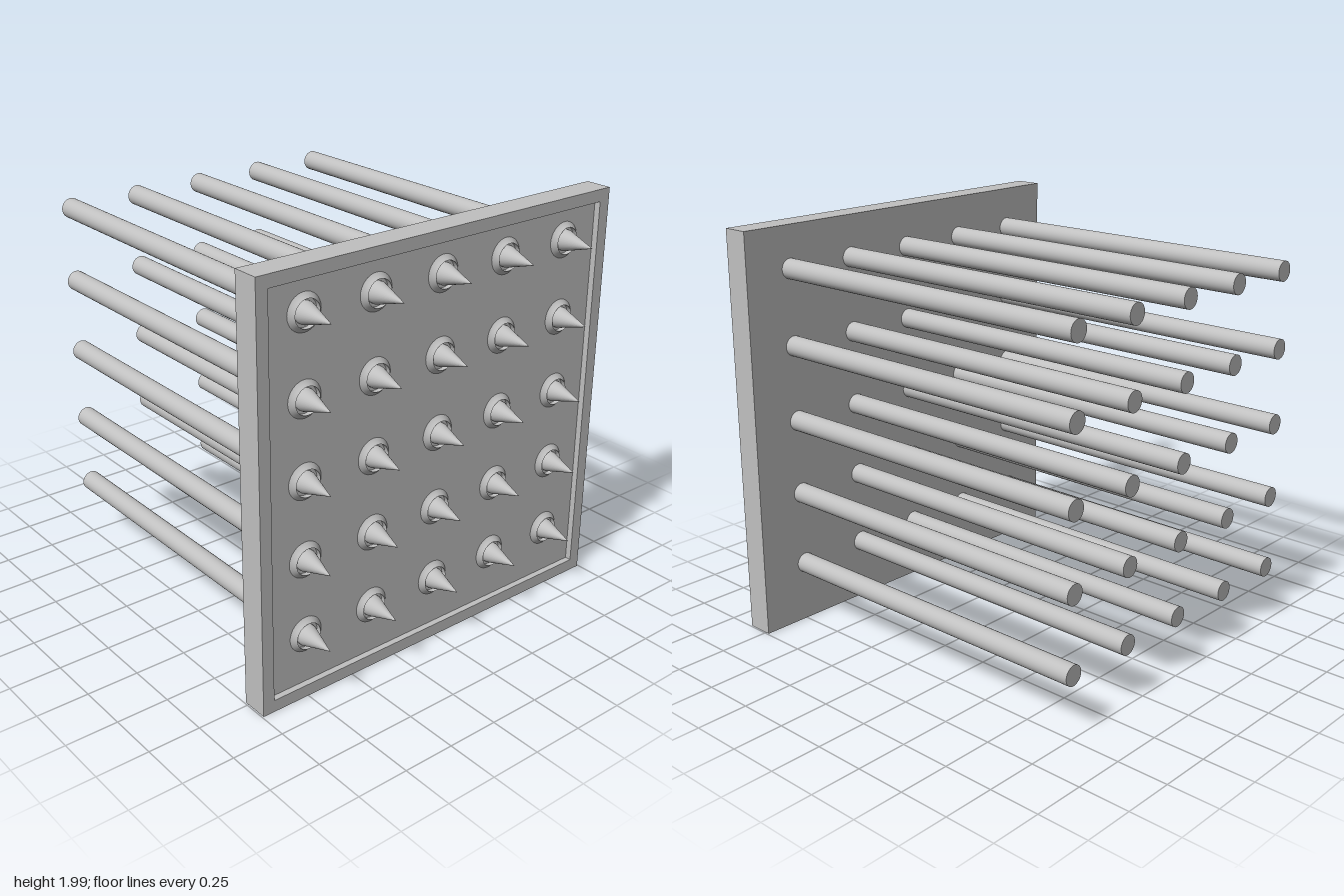
import * as THREE from 'three';

const steel = new THREE.MeshStandardMaterial({ color: 0xc0c0c0 });
steel.name = 'steel grey';

const BACK = 0.73, FLOOR = 0.83, FRONT = 0.86;
const HALF = 0.993, INNER = 0.935, MID = 0.993;

function part(name, geometry, parent) {
  const mesh = new THREE.Mesh(geometry, steel);
  mesh.name = name;
  parent.add(mesh);
  return mesh;
}

function square(path, h) {
  path.moveTo(-h, -h);
  path.lineTo(h, -h);
  path.lineTo(h, h);
  path.lineTo(-h, h);
  path.closePath();
  return path;
}

// Square slab with a shallow rim around its front
function makePlate() {
  const plate = new THREE.Group();
  plate.name = 'plate';
  plate.position.y = MID;
  const panel = part('panel', new THREE.BoxGeometry(INNER * 2, INNER * 2, FLOOR - BACK), plate);
  panel.position.z = (FLOOR + BACK) / 2;
  const outline = square(new THREE.Shape(), HALF);
  outline.holes.push(square(new THREE.Path(), INNER));
  const rim = part('rim', new THREE.ExtrudeGeometry(outline, { depth: FRONT - BACK, bevelEnabled: false }), plate);
  rim.position.z = BACK;
  return plate;
}

// Long rod, pointed tip and flared collar, all lying along z
const rodGeometry = new THREE.CylinderGeometry(0.049, 0.049, FLOOR + 1.015, 32)
  .rotateX(Math.PI / 2).translate(0, 0, (FLOOR + 0.015 - 1) / 2);
const tipGeometry = new THREE.ConeGeometry(0.049, 0.155, 32, 1, true)
  .rotateX(Math.PI / 2).translate(0, 0, 0.9225);
const collarGeometry = new THREE.LatheGeometry([
  new THREE.Vector2(0.085, 0),
  new THREE.Vector2(0.077, 0.006),
  new THREE.Vector2(0.069, 0.015),
  new THREE.Vector2(0.063, 0.024),
], 32).rotateX(Math.PI / 2).translate(0, 0, FLOOR);
const boreGeometry = new THREE.CylinderGeometry(0.063, 0.063, 0.024, 32, 1, true)
  .rotateX(Math.PI / 2).translate(0, 0, FLOOR + 0.012);
// The bore faces inwards
const order = boreGeometry.index.array;
for (let i = 0; i < order.length; i += 3) [order[i], order[i + 1]] = [order[i + 1], order[i]];
const boreNormals = boreGeometry.attributes.normal;
for (let i = 0; i < boreNormals.count; i++) {
  boreNormals.setXYZ(i, -boreNormals.getX(i), -boreNormals.getY(i), -boreNormals.getZ(i));
}

function makeSpike(x, y) {
  const spike = new THREE.Group();
  spike.name = 'spike';
  spike.position.set(x, y, 0);
  part('rod', rodGeometry, spike);
  part('tip', tipGeometry, spike);
  part('collar', collarGeometry, spike);
  part('collarBore', boreGeometry, spike);
  return spike;
}

export function createModel() {
  const model = new THREE.Group();
  model.name = 'spikeTrap';
  model.add(makePlate());

  // Five by five grid of spikes
  for (let row = 0; row < 5; row++) {
    for (let column = -2; column <= 2; column++) {
      model.add(makeSpike(column * 0.37, 0.3 + row * 0.37));
    }
  }
  return model;
}
